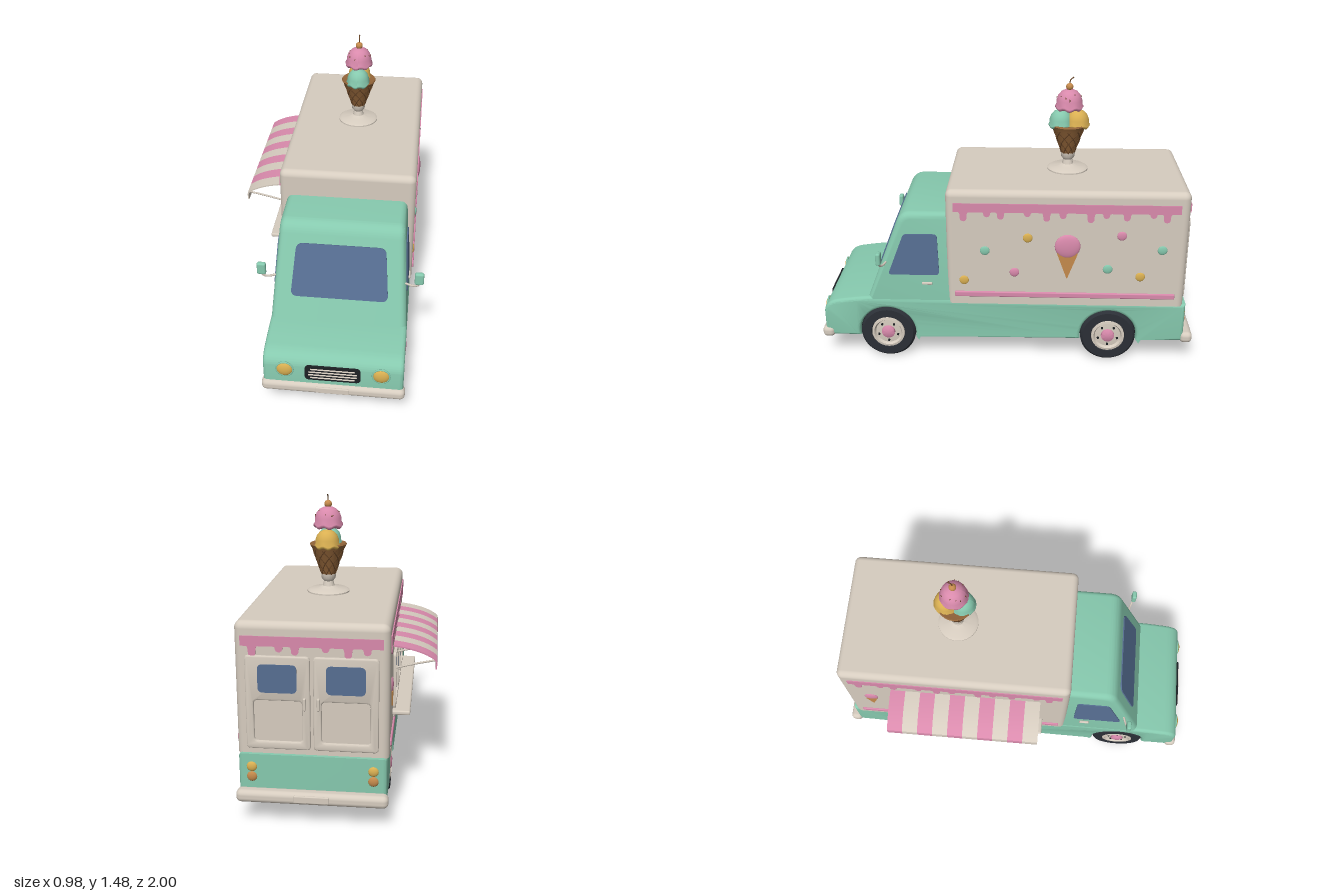
import * as THREE from 'three';
import { toCreasedNormals } from 'three/addons/utils/BufferGeometryUtils.js';
import { RoundedBoxGeometry } from 'three/addons/geometries/RoundedBoxGeometry.js';

const mat = (name, color, side = THREE.FrontSide) => {
  const m = new THREE.MeshStandardMaterial({ color, side });
  m.name = name;
  return m;
};
const V2 = (x, y) => new THREE.Vector2(x, y);
const V3 = (x, y, z) => new THREE.Vector3(x, y, z);

export function createModel() {
  const mint = mat('mint', 0x86c9ae), cream = mat('cream', 0xd6ccbf), pink = mat('pink', 0xd98aac);
  const glass = mat('glass', 0x566e92), rubber = mat('rubber', 0x2b2f36), yellow = mat('yellow', 0xdab052);
  const caramel = mat('caramel', 0xc48a4c), waffle = mat('waffle', 0x94663a), darkWaffle = mat('darkWaffle', 0x684527);
  const black = mat('black', 0x1c2024, THREE.DoubleSide);

  const model = new THREE.Group();
  model.name = 'iceCreamTruck';
  const truck = new THREE.Group();
  truck.name = 'truck';
  truck.position.x = 0.075;
  model.add(truck);

  const add = (name, geo, material, x = 0, y = 0, z = 0, parent = truck) => {
    const m = new THREE.Mesh(geo, material);
    m.name = name;
    m.position.set(x, y, z);
    parent.add(m);
    return m;
  };
  const box = (w, h, d, r = 0.005) => new RoundedBoxGeometry(w, h, d, 3, r);
  const lathe = (pts, n = 32) => toCreasedNormals(new THREE.LatheGeometry(pts.map(p => V2(...p)), n), 0.7);
  const tube = (pts, r, n = 12) => new THREE.TubeGeometry(new THREE.CatmullRomCurve3(pts), n, r, 6);
  const reshape = (geo, rule) => {
    const p = geo.attributes.position, v = V3(0, 0, 0);
    for (let i = 0; i < p.count; i++) {
      rule(v.fromBufferAttribute(p, i));
      p.setXYZ(i, v.x, v.y, v.z);
    }
    geo.computeVertexNormals();
    return geo;
  };
  // Polygon with softened corners
  const roundPoly = (pts, r, S = THREE.Shape) => {
    const shape = new S(), n = pts.length, v = pts.map(p => V2(...p));
    v.forEach((c, i) => {
      const a = v[(i + n - 1) % n].clone().sub(c).setLength(r).add(c);
      const b = v[(i + 1) % n].clone().sub(c).setLength(r).add(c);
      i ? shape.lineTo(a.x, a.y) : shape.moveTo(a.x, a.y);
      shape.quadraticCurveTo(c.x, c.y, b.x, b.y);
    });
    shape.closePath();
    return shape;
  };
  const rect = (x0, x1, y0, y1) => [[x0, y0], [x1, y0], [x1, y1], [x0, y1]];
  const plate = (shape, depth = 0.008) => new THREE.ExtrudeGeometry(shape, { depth, bevelEnabled: false, curveSegments: 8 });
  // Side outline in (z, y) extruded across the truck with rounded edges
  const hull = (shape, width, b) => {
    const g = new THREE.ExtrudeGeometry(shape, { depth: width - 2 * b, bevelThickness: b, bevelSize: b, bevelOffset: -b, bevelSegments: 5, curveSegments: 20 });
    g.translate(0, 0, b - width / 2);
    return g.rotateY(-Math.PI / 2);
  };

  // Lower body with wheel arches and hood
  const axles = [-0.545, 0.64], wheelY = 0.147;
  const low = new THREE.Shape();
  low.moveTo(-0.947, 0.125);
  for (const z of axles) {
    low.lineTo(z - 0.148, 0.125);
    low.absarc(z, wheelY, 0.15, Math.PI + 0.147, -0.147, true);
  }
  low.lineTo(0.978, 0.125);
  low.lineTo(0.978, 0.27);
  low.quadraticCurveTo(0.972, 0.332, 0.89, 0.343);
  low.quadraticCurveTo(0.8, 0.358, 0.72, 0.362);
  low.lineTo(0.2, 0.362);
  low.lineTo(-0.947, 0.345);
  low.closePath();
  add('lowerBody', toCreasedNormals(hull(low, 0.696, 0.02), 0.6), mint);

  // Cab, narrowing toward the roof
  const cabShape = new THREE.Shape();
  cabShape.moveTo(0.24, 0.31);
  cabShape.lineTo(0.754, 0.31);
  cabShape.lineTo(0.573, 0.78);
  cabShape.quadraticCurveTo(0.552, 0.838, 0.5, 0.84);
  cabShape.lineTo(0.24, 0.84);
  cabShape.closePath();
  const taper = y => 1 - 0.09 * (y - 0.36) / 0.48;
  add('cab', toCreasedNormals(reshape(hull(cabShape, 0.69, 0.035), v => { v.x *= taper(v.y); }), 0.6), mint);
  const shield = add('windscreen', plate(roundPoly([[-0.247, -0.139], [0.247, -0.139], [0.225, 0.139], [-0.225, 0.139]], 0.035)), glass, 0, 0.61, 0.637);
  shield.rotation.x = -0.368;

  // Cargo box with a flat underside
  const cargo = new RoundedBoxGeometry(0.71, 0.68, 1.24, 5, 0.035);
  const cp = cargo.attributes.position;
  for (let i = 0; i < cp.count; i++) cp.setY(i, Math.max(cp.getY(i), -0.3));
  add('cargoBox', cargo, cream, 0, 0.64, -0.31);

  // Wheels, hubs and wells
  const tyre = lathe([[0, -0.045], [0.135, -0.045], [0.147, -0.032], [0.147, 0.032], [0.135, 0.045], [0.092, 0.045], [0.085, 0.025]], 40);
  const rim = lathe([[0.09, 0.025], [0.088, 0.046], [0.076, 0.048], [0.068, 0.034], [0.04, 0.036], [0, 0.036]]);
  const hub = lathe([[0.037, 0.03], [0.035, 0.046], [0.022, 0.052], [0, 0.053]], 24);
  for (const z of axles) {
    add('wheelWell', new THREE.CylinderGeometry(0.149, 0.149, 0.65, 24, 1, true, 0, Math.PI).rotateZ(Math.PI / 2), black, 0, wheelY, z);
    add('axle', new THREE.CylinderGeometry(0.02, 0.02, 0.55, 12).rotateZ(Math.PI / 2), black, 0, wheelY, z);
    for (const s of [-1, 1]) {
      const w = new THREE.Group();
      w.name = 'wheel';
      w.position.set(s * 0.298, wheelY, z);
      w.rotation.z = -s * Math.PI / 2;
      truck.add(w);
      add('tyre', tyre, rubber, 0, 0, 0, w);
      add('rim', rim, cream, 0, 0, 0, w);
      add('hub', hub, pink, 0, 0, 0, w);
      for (let i = 0; i < 5; i++) {
        const a = i * Math.PI * 0.4;
        add('wheelNut', new THREE.CylinderGeometry(0.006, 0.006, 0.01, 8), black, 0.054 * Math.cos(a), 0.037, 0.054 * Math.sin(a), w);
      }
    }
  }

  // Bumpers and number plates
  for (const s of [-1, 1]) {
    add('bumper', box(0.715, 0.062, 0.066, 0.025), cream, 0, 0.145, s * 0.963);
    add('numberPlate', box(0.168, 0.036, 0.012, 0.005), cream, 0, 0.147, s * 0.994);
  }

  // Grille, headlights and tail lights
  add('grille', plate(roundPoly(rect(-0.138, 0.138, -0.044, 0.044), 0.025), 0.01), black, 0, 0.246, 0.974);
  for (let i = 0; i < 4; i++) add('grilleBar', box(0.24 - (i % 3 ? 0 : 0.02), 0.006, 0.008, 0.002), cream, 0, 0.219 + i * 0.018, 0.985);
  for (const s of [-1, 1]) {
    add('headlight', new THREE.SphereGeometry(0.042, 24, 16), yellow, s * 0.238, 0.255, 0.974).scale.z = 0.45;
    add('headlightRing', new THREE.TorusGeometry(0.042, 0.005, 8, 28), mint, s * 0.238, 0.255, 0.977);
    [[0.282, yellow], [0.232, caramel]].forEach(([y, m]) => {
      add('tailLight', new THREE.SphereGeometry(0.025, 20, 12), m, s * 0.285, y, -0.945).scale.z = 0.5;
    });
  }

  // Cab side windows, handles and mirrors
  const onSide = (s, pts, r, depth) => plate(roundPoly(pts.map(([z, y]) => [-s * z, y]), r), depth).rotateY(s * Math.PI / 2);
  for (const s of [-1, 1]) {
    const win = onSide(s, [[0.622, 0.498], [0.352, 0.498], [0.36, 0.725], [0.535, 0.725]], 0.022, 0.006);
    add('sideWindow', reshape(win, v => { v.x += s * 0.345 * taper(v.y); }), glass);
    add('doorHandle', box(0.014, 0.014, 0.055), cream, s * 0.344, 0.45, 0.417);
    add('mirrorArm', tube([V3(s * 0.32, 0.565, 0.63), V3(s * 0.365, 0.562, 0.645), V3(s * 0.39, 0.575, 0.655), V3(s * 0.395, 0.61, 0.657)], 0.006), cream);
    add('mirror', box(0.046, 0.068, 0.026, 0.01), mint, s * 0.396, 0.618, 0.657);
  }

  // Icing drips, lower stripe and painted cones
  const icing = (u0, u1) => {
    const s = new THREE.Shape(), w = 0.034, lens = [0.05, 0.026, 0.038, 0.022, 0.046, 0.03];
    const n = Math.round((u1 - u0) / 0.105), step = (u1 - u0) / n;
    s.moveTo(u1, 0.868);
    s.lineTo(u1, 0.915);
    s.lineTo(u0, 0.915);
    s.lineTo(u0, 0.868);
    for (let i = 0; i < n; i++) {
      const c = u0 + (i + 0.5) * step + 0.02 * Math.sin(i * 2.3), y = 0.868 - lens[i % 6] + w / 2;
      s.lineTo(c - w / 2 - 0.01, 0.868);
      s.quadraticCurveTo(c - w / 2, 0.868, c - w / 2, Math.min(y, 0.86));
      s.absarc(c, y, w / 2, Math.PI, 2 * Math.PI, false);
      s.quadraticCurveTo(c + w / 2, 0.868, c + w / 2 + 0.01, 0.868);
    }
    s.closePath();
    return plate(s, 0.008);
  };
  const paintedCone = (s, z, y, k) => {
    add('paintedCone', onSide(s, [[z - 0.055 * k, y - 0.035 * k], [z + 0.055 * k, y - 0.035 * k], [z, y - 0.185 * k]], 0.01 * k, 0.009), caramel, s * 0.353);
    add('paintedScoop', new THREE.SphereGeometry(0.066 * k, 28, 16), pink, s * 0.355, y, z).scale.x = 0.25;
  };
  for (const s of [-1, 1]) {
    add('sideIcing', icing(-0.575, 0.575).rotateY(s * Math.PI / 2), pink, s * 0.352, 0, -0.305);
    add('sideStripe', box(0.016, 0.03, 1.15, 0.006), pink, s * 0.356, 0.4, -0.305);
  }
  add('rearIcing', icing(-0.325, 0.325).rotateY(Math.PI), pink, 0, 0, -0.927);
  paintedCone(1, -0.315, 0.682, 1);
  paintedCone(-1, -0.79, 0.655, 0.58);
  [[0.11, 0.652, mint], [-0.11, 0.727, yellow], [0.22, 0.48, yellow], [-0.043, 0.53, pink], [-0.59, 0.745, pink],
    [-0.525, 0.555, mint], [-0.695, 0.513, yellow], [-0.8, 0.667, mint]].forEach(([z, y, m]) => {
    add('sideDot', new THREE.SphereGeometry(0.025, 20, 12), m, 0.355, y, z).scale.x = 0.3;
  });

  // Rear doors
  for (const s of [-1, 1]) {
    const door = roundPoly(rect(-0.15, 0.15, 0.37, 0.825), 0.02);
    door.holes.push(roundPoly(rect(-0.112, 0.112, 0.41, 0.61), 0.02, THREE.Path));
    const g = new THREE.ExtrudeGeometry(door, { depth: 0.004, bevelThickness: 0.008, bevelSize: 0.008, bevelOffset: -0.008, bevelSegments: 3, curveSegments: 6 });
    add('rearDoor', toCreasedNormals(g.rotateY(Math.PI), 0.6), cream, s * 0.157, 0, -0.928);
    add('rearWindow', plate(roundPoly(rect(-0.09, 0.09, 0.65, 0.785), 0.025), 0.006).rotateY(Math.PI), glass, s * 0.157, 0, -0.938);
    add('rearDoorHandle', box(0.014, 0.06, 0.018), cream, s * 0.032, 0.6, -0.945);
  }

  // Serving hatch with counter
  const frame = roundPoly(rect(-0.4, 0.4, 0.48, 0.765), 0.02);
  frame.holes.push(roundPoly(rect(-0.375, 0.375, 0.5, 0.745), 0.015, THREE.Path));
  add('hatchFrame', plate(frame, 0.016).rotateY(-Math.PI / 2), cream, -0.353, 0, -0.255);
  add('hatchGlass', plate(roundPoly(rect(-0.38, 0.38, 0.495, 0.75), 0.01), 0.006).rotateY(-Math.PI / 2), glass, -0.353, 0, -0.255);
  for (const z of [-0.38, -0.13]) add('hatchPost', box(0.016, 0.25, 0.016), cream, -0.36, 0.622, z);
  add('counter', box(0.095, 0.022, 0.86, 0.008), cream, -0.393, 0.47, -0.255);
  for (const z of [-0.6, 0.09]) add('counterBracket', tube([V3(-0.41, 0.46, z), V3(-0.375, 0.447, z), V3(-0.354, 0.42, z)], 0.007), cream);

  // Striped awning
  const top = new THREE.QuadraticBezierCurve(V2(-0.352, 0.806), V2(-0.5, 0.79), V2(-0.562, 0.737)).getPoints(10);
  top.push(V2(-0.565, 0.72), V2(-0.562, 0.692));
  const under = top.map((p, i) => V2(p.x + (i > 9 ? 0.006 : 0.001), p.y - (i > 10 ? 0 : 0.007))).reverse();
  const stripeW = 0.0815;
  for (let i = 0; i < 10; i++) {
    add('awningStripe', toCreasedNormals(plate(new THREE.Shape([...top, ...under]), stripeW), 0.6), i % 2 ? cream : pink, 0, 0, -0.66 + i * stripeW);
  }
  for (const z of [-0.645, -0.39, -0.12, 0.14]) add('awningStrut', tube([V3(-0.555, 0.733, z), V3(-0.45, 0.71, z), V3(-0.352, 0.685, z)], 0.005), cream);

  // Rooftop ice cream
  const treat = new THREE.Group();
  treat.name = 'rooftopIceCream';
  treat.position.set(0, 0.975, -0.317);
  truck.add(treat);
  const put = (name, geo, m, x = 0, y = 0, z = 0) => add(name, geo, m, x, y, z, treat);
  put('stand', lathe([[0.108, 0], [0.108, 0.012], [0.095, 0.02], [0.055, 0.024], [0.03, 0.035], [0.024, 0.06], [0.036, 0.075], [0.038, 0.098], [0, 0.1]], 36), cream);
  put('cone', lathe([[0, 0.09], [0.034, 0.092], [0.08, 0.225], [0.094, 0.25], [0.09, 0.256], [0, 0.24]], 36), waffle);
  for (const dir of [-1, 1]) for (let i = 0; i < 9; i++) {
    const pts = [];
    for (let j = 0; j <= 8; j++) {
      const t = j / 8, r = 0.035 + 0.046 * t, a = i * Math.PI * 2 / 9 + dir * t * 1.5;
      pts.push(V3(r * Math.cos(a), 0.095 + 0.132 * t, r * Math.sin(a)));
    }
    put('waffleRidge', tube(pts, 0.0028, 14), darkWaffle);
  }
  // Scoop: dome with a wavy skirt
  const scoop = (name, m, r, y, z) => {
    const dome = [[0, 0], [0.9, 0], [1.0, 0.1], [1.02, 0.22], [0.93, 0.36], [0.92, 0.65], [0.8, 1], [0.58, 1.26], [0.3, 1.4], [0, 1.45]];
    const g = new THREE.LatheGeometry(dome.map(p => V2(p[0] * r, p[1] * r)), 36);
    reshape(g, v => {
      if (v.y < 0.4 * r) v.y += 0.07 * r * Math.sin(7 * Math.atan2(v.x, v.z));
    });
    put(name, g, m, 0, y, z);
  };
  scoop('mintScoop', mint, 0.064, 0.238, 0.042);
  scoop('vanillaScoop', yellow, 0.064, 0.238, -0.046);
  scoop('berryScoop', pink, 0.073, 0.335, 0);
  for (let i = 0; i < 10; i++) {
    const a = i * 2.4, e = 0.35 + 0.09 * (i % 6);
    const sp = put('sprinkle', new THREE.CapsuleGeometry(0.0025, 0.009, 3, 6), darkWaffle, 0.068 * Math.cos(e) * Math.cos(a), 0.37 + 0.068 * Math.sin(e), 0.068 * Math.cos(e) * Math.sin(a));
    sp.rotation.set(a, 0, a * 2);
  }
  put('cherry', new THREE.SphereGeometry(0.019, 20, 14), caramel, 0, 0.452, 0);
  put('cherryStem', tube([V3(0, 0.465, 0), V3(0, 0.488, -0.004), V3(0, 0.504, -0.022)], 0.003), darkWaffle);

  return model;
}
